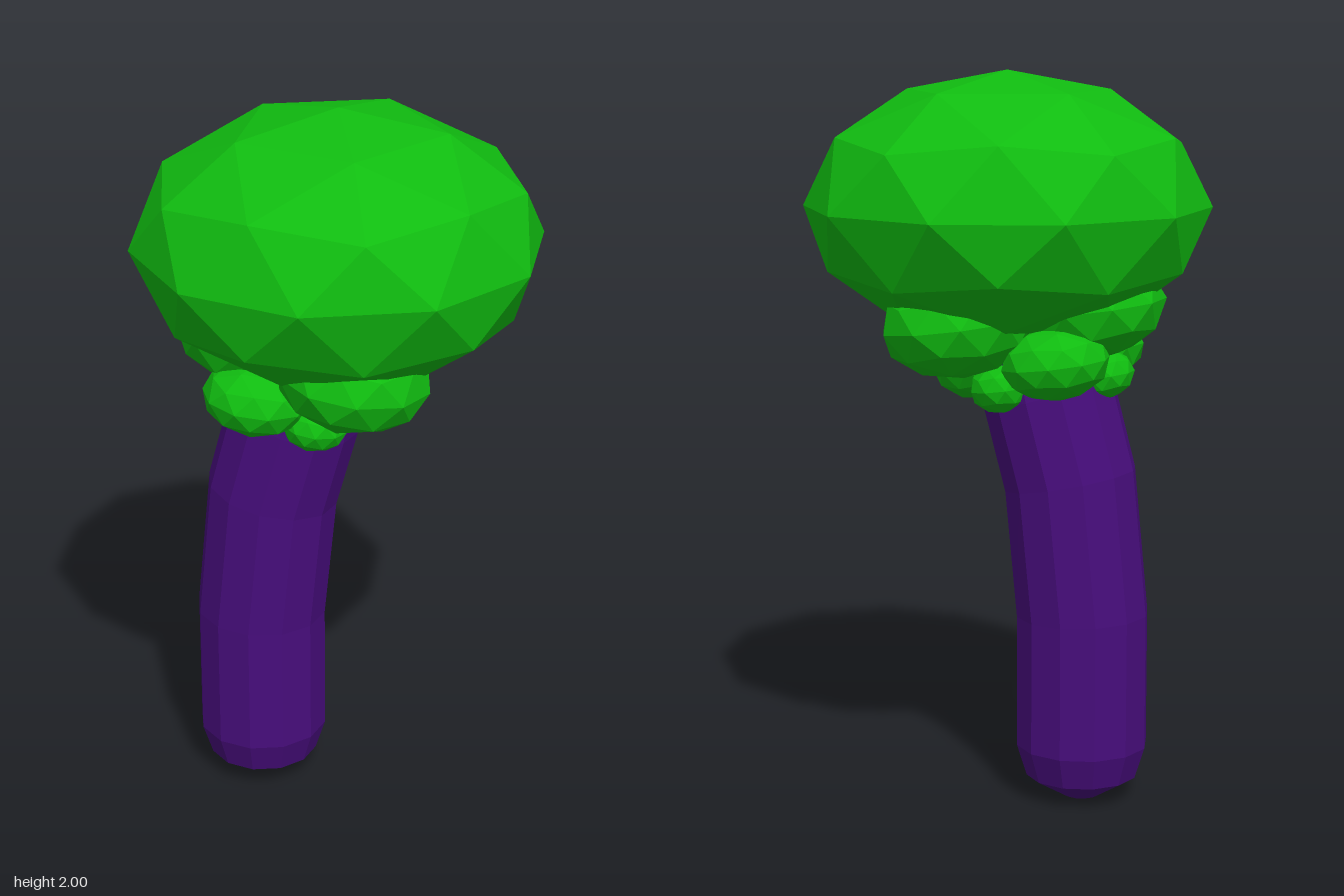
import * as THREE from 'three';

const leafMat = new THREE.MeshStandardMaterial({ color: 0x10bc10, flatShading: true });
const barkMat = new THREE.MeshStandardMaterial({ color: 0x470d7c, flatShading: true });

// Faceted, flattened ball with one corner pointing straight up and one towards +x
function leafBall(name, radius, halfHeight) {
  const geo = new THREE.IcosahedronGeometry(1, 1);
  geo.rotateZ(-Math.atan(2 / (1 + Math.sqrt(5))));
  geo.scale(radius, halfHeight, radius);
  const mesh = new THREE.Mesh(geo, leafMat);
  mesh.name = name;
  return mesh;
}

// Three balls spread evenly around the leaning trunk
function leafRing(name, x, y, spread, radius, halfHeight, startAngle) {
  const ring = new THREE.Group();
  ring.name = name;
  for (let i = 0; i < 3; i++) {
    const a = startAngle + (i * Math.PI * 2) / 3;
    const ball = leafBall('leafClump', radius, halfHeight);
    ball.position.set(Math.cos(a) * spread, 0, Math.sin(a) * spread);
    ball.rotation.y = -a;
    ring.add(ball);
  }
  ring.position.set(x, y, 0);
  ring.rotation.z = -0.13;
  return ring;
}

// Bent trunk: rings of [centre x, centre y, radius, lean]
function trunk() {
  const rings = [
    [-0.222, 0, 0.05, 0],
    [-0.222, 0.062, 0.155, 0],
    [-0.222, 0.15, 0.183, 0],
    [-0.222, 0.52, 0.183, 0.03],
    [-0.185, 0.895, 0.183, 0.19],
    [-0.122, 1.13, 0.183, 0.26],
    [-0.09, 1.25, 0.17, 0.26],
  ];
  const last = rings.length - 1;
  const geo = new THREE.CylinderGeometry(1, 1, 1, 12, last);
  const p = geo.attributes.position;
  for (let i = 0; i < p.count; i++) {
    const [cx, cy, r, lean] = rings[Math.round((p.getY(i) + 0.5) * last)];
    const x = p.getX(i) * r;
    p.setXYZ(i, cx + x * Math.cos(lean), cy - x * Math.sin(lean), p.getZ(i) * r);
  }
  geo.computeVertexNormals();
  const mesh = new THREE.Mesh(geo, barkMat);
  mesh.name = 'trunk';
  return mesh;
}

export function createModel() {
  const tree = new THREE.Group();
  tree.name = 'tree';

  const canopy = leafBall('canopy', 0.555, 0.365);
  canopy.position.y = 1.635;

  tree.add(
    trunk(),
    canopy,
    leafRing('upperLeaves', -0.03, 1.345, 0.208, 0.21, 0.145, Math.PI / 3),
    leafRing('middleLeaves', -0.108, 1.225, 0.173, 0.147, 0.1, 0),
    leafRing('lowerLeaves', -0.117, 1.17, 0.155, 0.092, 0.07, Math.PI / 3),
  );
  return tree;
}
